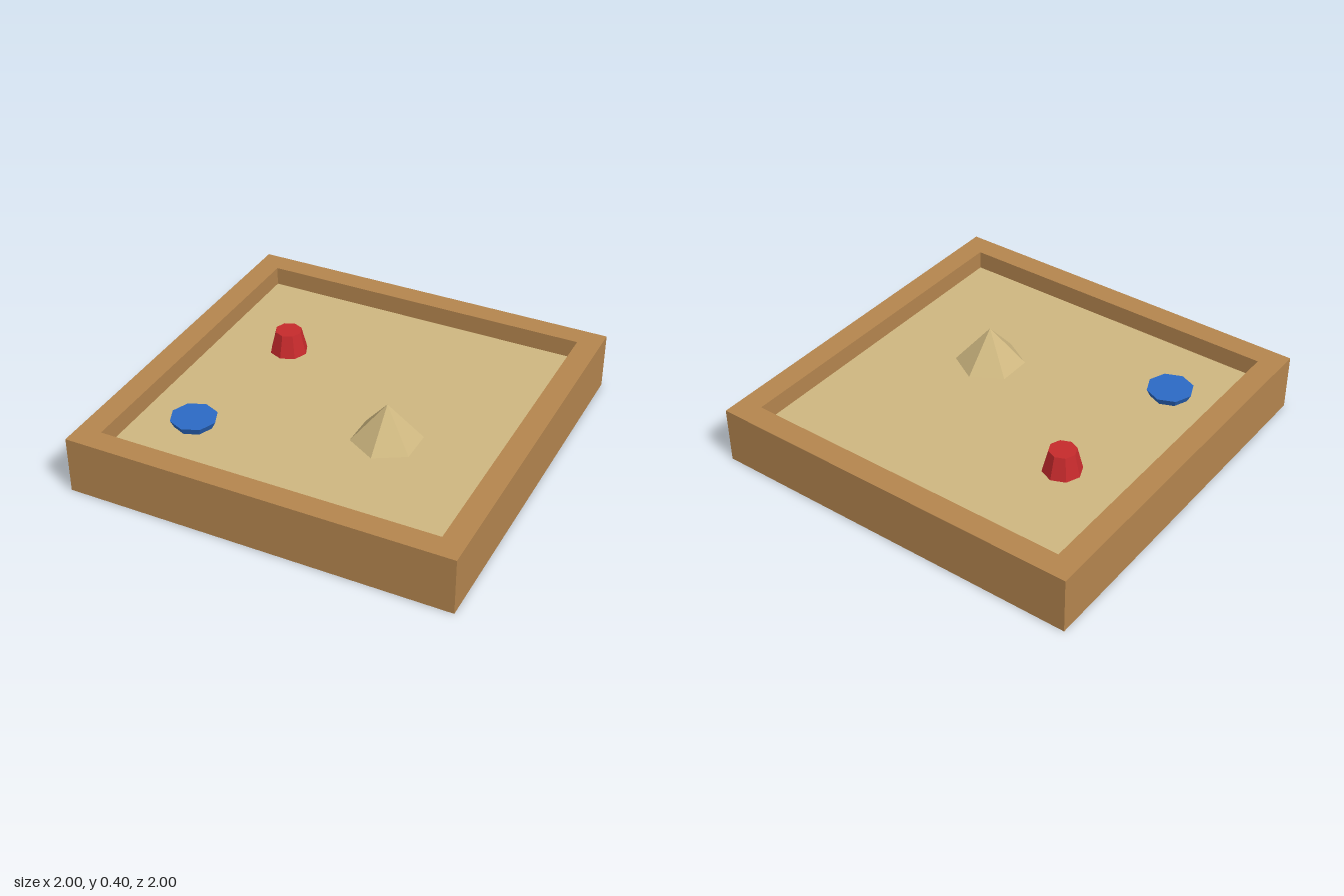
import * as THREE from 'three';

export function createModel() {
  const model = new THREE.Group();
  model.name = 'sandbox';

  const material = (name, color) => {
    const m = new THREE.MeshStandardMaterial({ color, flatShading: true });
    m.name = name;
    return m;
  };
  const wood = material('wood', 0xb4854e);
  const sand = material('sand', 0xceb780);
  const red = material('red', 0xc62a2c);
  const blue = material('blue', 0x2c6ac4);

  const add = (name, geometry, mat, x, y, z) => {
    const mesh = new THREE.Mesh(geometry, mat);
    mesh.name = name;
    mesh.position.set(x, y, z);
    model.add(mesh);
    return mesh;
  };

  const outer = 1, inner = 0.88, wallHeight = 0.3, sandTop = 0.2;
  const square = (Path, r) => new Path([[-r, -r], [r, -r], [r, r], [-r, r]].map(([x, y]) => new THREE.Vector2(x, y)));

  // Square wooden frame, open in the middle
  const outline = square(THREE.Shape, outer);
  outline.holes.push(square(THREE.Path, inner));
  const frame = new THREE.ExtrudeGeometry(outline, { depth: wallHeight, bevelEnabled: false });
  frame.rotateX(-Math.PI / 2);
  add('frame', frame, wood, 0, 0, 0);

  // Sand fill, flush with the underside
  add('sandFill', new THREE.BoxGeometry(inner * 2, sandTop, inner * 2), sand, 0, sandTop / 2, 0);

  // Six-sided sand pile
  add('sandPile', new THREE.ConeGeometry(0.18, 0.2, 6), sand, 0.3, sandTop + 0.1, 0.2);

  // Upturned bucket and shallow dish
  add('bucket', new THREE.CylinderGeometry(0.07, 0.1, 0.12, 8), red, -0.5, sandTop + 0.06, -0.3);
  add('dish', new THREE.CylinderGeometry(0.12, 0.1, 0.04, 8), blue, -0.6, sandTop + 0.02, 0.5);

  return model;
}
